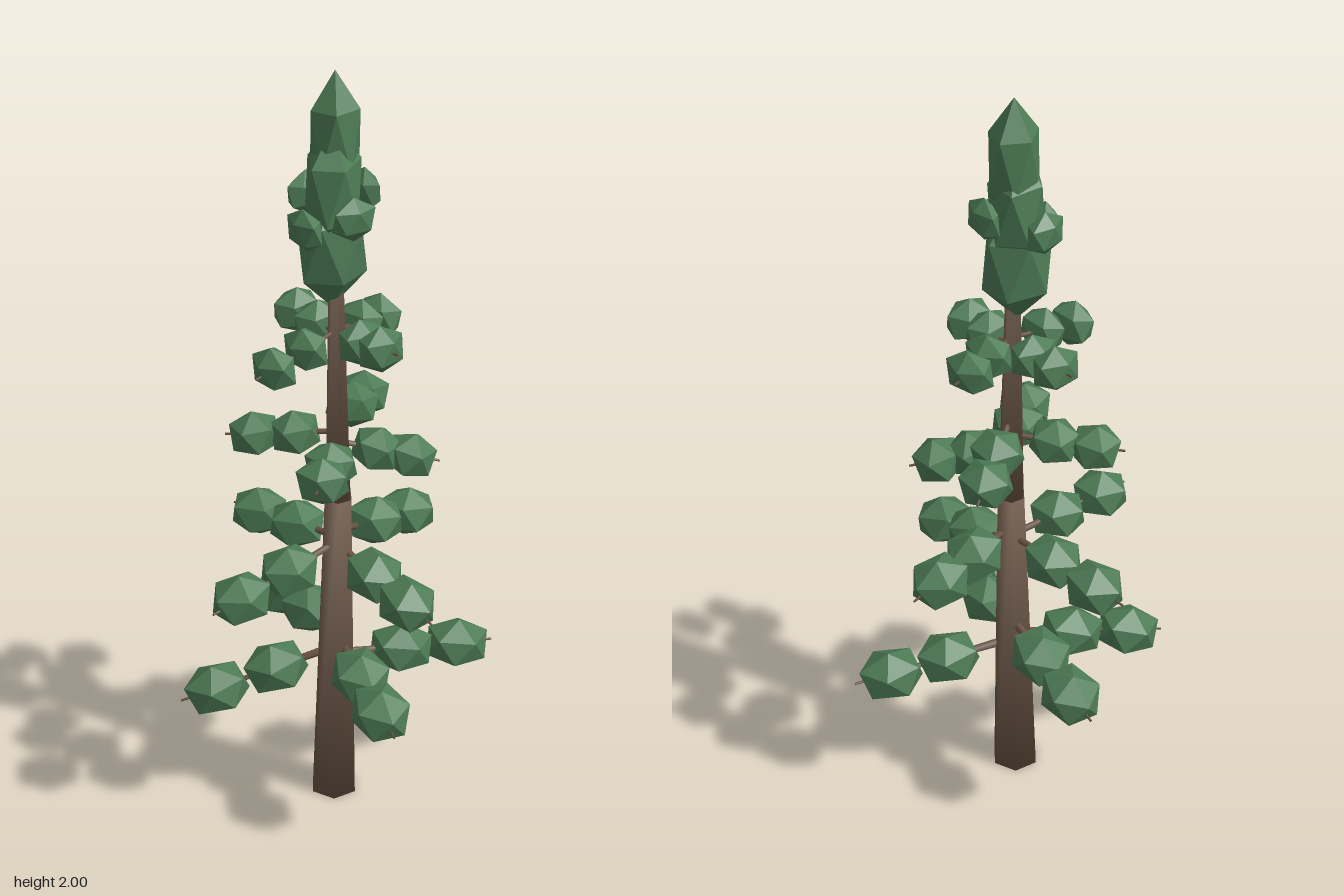
import * as THREE from 'three';

const needleGreen = new THREE.MeshStandardMaterial({ color: 0x4d7b55, flatShading: true });
needleGreen.name = 'needleGreen';
const barkBrown = new THREE.MeshStandardMaterial({ color: 0x6b5443 });
barkBrown.name = 'barkBrown';

// Icosahedron standing on a vertex, shared by every clump
const clumpGeometry = new THREE.IcosahedronGeometry(1, 0);
clumpGeometry.rotateZ(-Math.atan(2 / (1 + Math.sqrt(5))));

function addClump(parent, name, center, size, yaw = 0, pitch = 0) {
  const clump = new THREE.Mesh(clumpGeometry, needleGreen);
  clump.name = name;
  clump.position.copy(center);
  clump.scale.set(...size);
  clump.rotation.set(0, yaw, pitch, 'YXZ');
  parent.add(clump);
}

// Six-sided leaning trunk piece, softly shaded round its end rims
function addTrunk(parent, name, y0, y1, r0, r1, x0, x1) {
  const geometry = new THREE.CylinderGeometry(r1, r0, y1 - y0, 6);
  geometry.rotateY(Math.PI / 2);
  const p = geometry.attributes.position;
  const n = geometry.attributes.normal;
  const v = new THREE.Vector3();
  for (let i = 0; i < p.count; i++) {
    const end = Math.sign(p.getY(i));
    const radius = Math.hypot(p.getX(i), p.getZ(i));
    if (radius > 0.001) {
      v.set(p.getX(i) / radius, end * 0.77, p.getZ(i) / radius).normalize();
      n.setXYZ(i, v.x, v.y, v.z);
    }
    p.setX(i, p.getX(i) + (end > 0 ? x1 : x0));
  }
  const mesh = new THREE.Mesh(geometry, barkBrown);
  mesh.name = name;
  mesh.position.y = (y0 + y1) / 2;
  parent.add(mesh);
}

// Tapered twig between two points
function addTwig(parent, from, to, r0, r1) {
  const dir = to.clone().sub(from);
  const twig = new THREE.Mesh(new THREE.CylinderGeometry(r1, r0, dir.length(), 5), barkBrown);
  twig.name = 'twig';
  twig.position.copy(from).add(to).multiplyScalar(0.5);
  twig.quaternion.setFromUnitVectors(new THREE.Vector3(0, 1, 0), dir.normalize());
  parent.add(twig);
}

// Tiers: clump size (along, up, across), and per branch the outer clump x, y, z and inner clump y
const tiers = [
  { size: [0.092, 0.068, 0.08], branches: [
    [0.315, 0.385, 0.073, 0.4], [-0.318, 0.37, -0.08, 0.405],
    [-0.05, 0.42, 0.285, 0.44], [0, 0.445, -0.295, 0.47]] },
  { size: [0.085, 0.066, 0.077], branches: [
    [-0.32, 0.725, 0.07, 0.74], [0.055, 0.68, 0.235, 0.71],
    [0.235, 0.745, -0.055, 0.765], [-0.085, 0.735, -0.265, 0.75]] },
  { size: [0.068, 0.061, 0.073], branches: [
    [0.155, 1.07, -0.145, 1.09], [-0.168, 1.05, -0.13, 1.06],
    [-0.13, 1.035, 0.14, 1.03], [0.155, 1.0, 0.085, 1.02]] },
  { size: [0.05, 0.06, 0.069], branches: [
    [-0.2, 1.31, 0.035, 1.33], [0.14, 1.33, -0.05, 1.34],
    [0.035, 1.345, 0.135, 1.34], [-0.03, 1.345, -0.16, 1.34]] },
  { size: [0.033, 0.055, 0.063], single: true, branches: [
    [-0.1, 1.635, 0.01, 1.64], [0.068, 1.7, 0, 1.7],
    [0.0, 1.66, 0.065, 1.66], [-0.035, 1.68, -0.1, 1.68]] },
];

export function createModel() {
  const tree = new THREE.Group();
  tree.name = 'conifer';

  addTrunk(tree, 'lowerTrunk', 0, 0.885, 0.064, 0.038, -0.017, -0.004);
  addTrunk(tree, 'upperTrunk', 0.88, 1.75, 0.036, 0.014, -0.004, -0.012);

  tiers.forEach(({ size, single, branches }, t) => {
    const tier = new THREE.Group();
    tier.name = `branchTier${t + 1}`;
    for (const [x, y, z, innerY] of branches) {
      const branch = new THREE.Group();
      branch.name = 'branch';
      const outer = new THREE.Vector3(x, y, z);
      const inner = new THREE.Vector3(x * 0.52, innerY, z * 0.52);
      const yaw = Math.atan2(-z, x);
      const pitch = Math.atan2(y - innerY, Math.hypot(x, z) * 0.48);
      addClump(branch, 'outerNeedles', outer, size, yaw, pitch);
      if (!single) {
        addClump(branch, 'innerNeedles', inner, size, yaw, pitch);
        const step = outer.clone().sub(inner);
        const base = inner.clone().sub(step);
        const tip = outer.clone().addScaledVector(step.normalize(), size[0] + 0.006);
        addTwig(branch, base, tip, 0.012 - t * 0.002, 0.003);
      }
      tier.add(branch);
    }
    tree.add(tier);
  });

  // Crown of three tall stacked clumps
  addClump(tree, 'crownBase', new THREE.Vector3(-0.015, 1.57, -0.01), [0.1, 0.16, 0.085], 0.2);
  addClump(tree, 'crownMiddle', new THREE.Vector3(-0.012, 1.715, -0.01), [0.098, 0.155, 0.075], 0.9);
  addClump(tree, 'crownTip', new THREE.Vector3(0, 1.837, -0.02), [0.072, 0.163, 0.066], 0.5);

  return tree;
}
